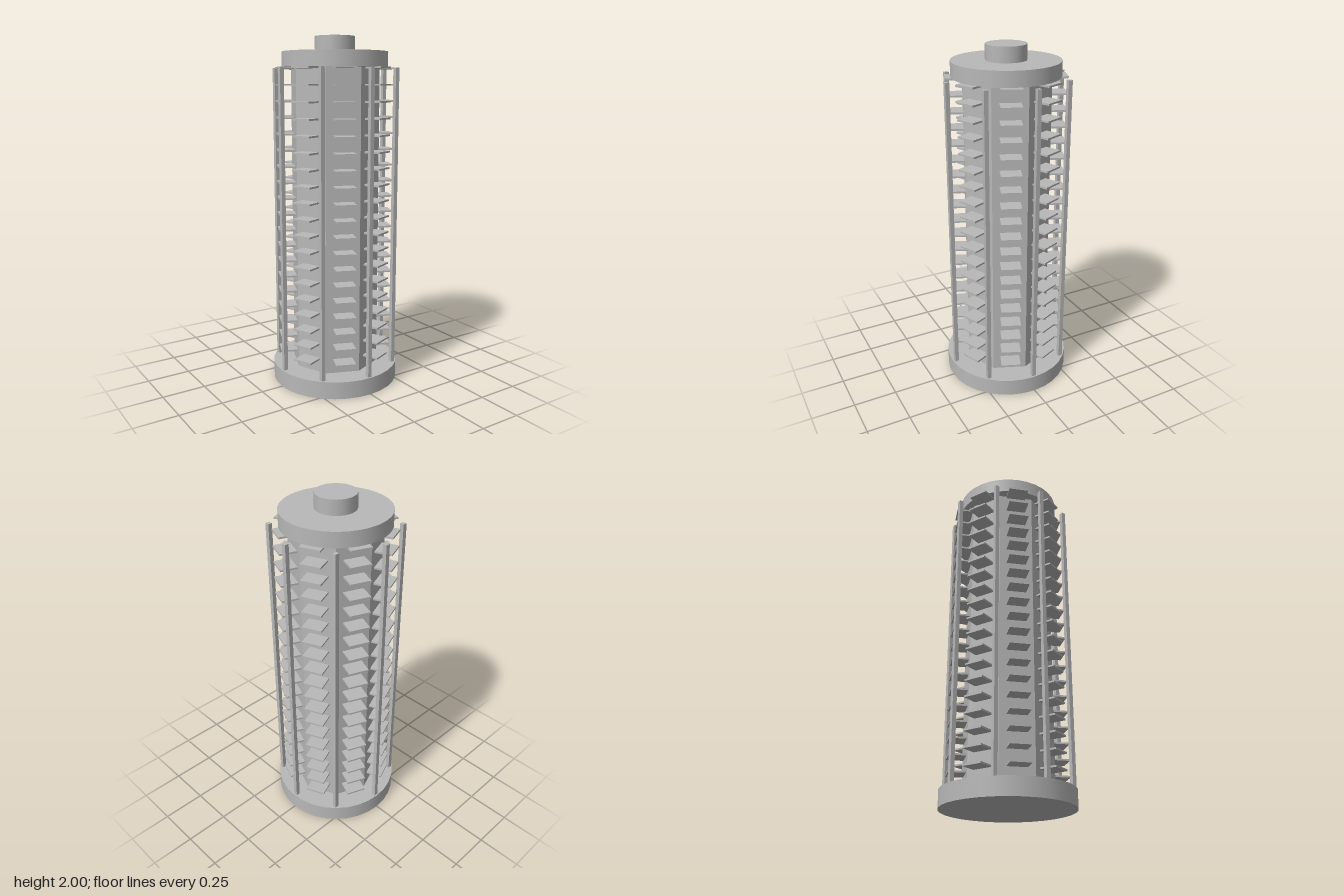
import * as THREE from 'three';

export function createModel() {
  const model = new THREE.Group();
  const grey = new THREE.MeshStandardMaterial({ color: 0xb8b8b8 });
  grey.name = 'plain grey';

  const add = (geometry, name, parent = model) => {
    const mesh = new THREE.Mesh(geometry, grey);
    mesh.name = name;
    parent.add(mesh);
    return mesh;
  };

  // Upright drum between two heights
  const drum = (name, radius, y0, y1, sides) => {
    const mesh = add(new THREE.CylinderGeometry(radius, radius, y1 - y0, sides), name);
    mesh.position.y = (y0 + y1) / 2;
    return mesh;
  };

  drum('base', 0.37, 0, 0.1, 32);
  drum('roof', 0.3, 1.83, 1.915, 32);
  drum('roofCap', 0.114, 1.915, 2, 16);

  // Eight-sided core with crisp faces, corners in line with the posts
  const core = drum('core', 0.255, 0.1, 1.83, 8);
  core.geometry = core.geometry.toNonIndexed();
  core.geometry.computeVertexNormals();

  const postGeometry = new THREE.BoxGeometry(0.024, 1.728, 0.024);
  const ledgeGeometry = new THREE.BoxGeometry(0.114, 0.01, 0.111);
  const rows = 19;

  for (let i = 0; i < 8; i++) {
    // Slim posts around the rim, all square to the axes
    const angle = (i * Math.PI) / 4;
    const post = add(postGeometry, 'post');
    post.position.set(Math.sin(angle) * 0.348, 0.964, Math.cos(angle) * 0.348);

    // A column of ledges on each face of the core
    const column = new THREE.Group();
    column.name = 'ledgeColumn';
    column.rotation.y = angle + Math.PI / 8;
    model.add(column);
    for (let row = 0; row < rows; row++) {
      const ledge = add(ledgeGeometry, 'ledge', column);
      ledge.position.set(0, 0.18 + row * 0.0914, 0.2755);
    }
  }

  return model;
}
